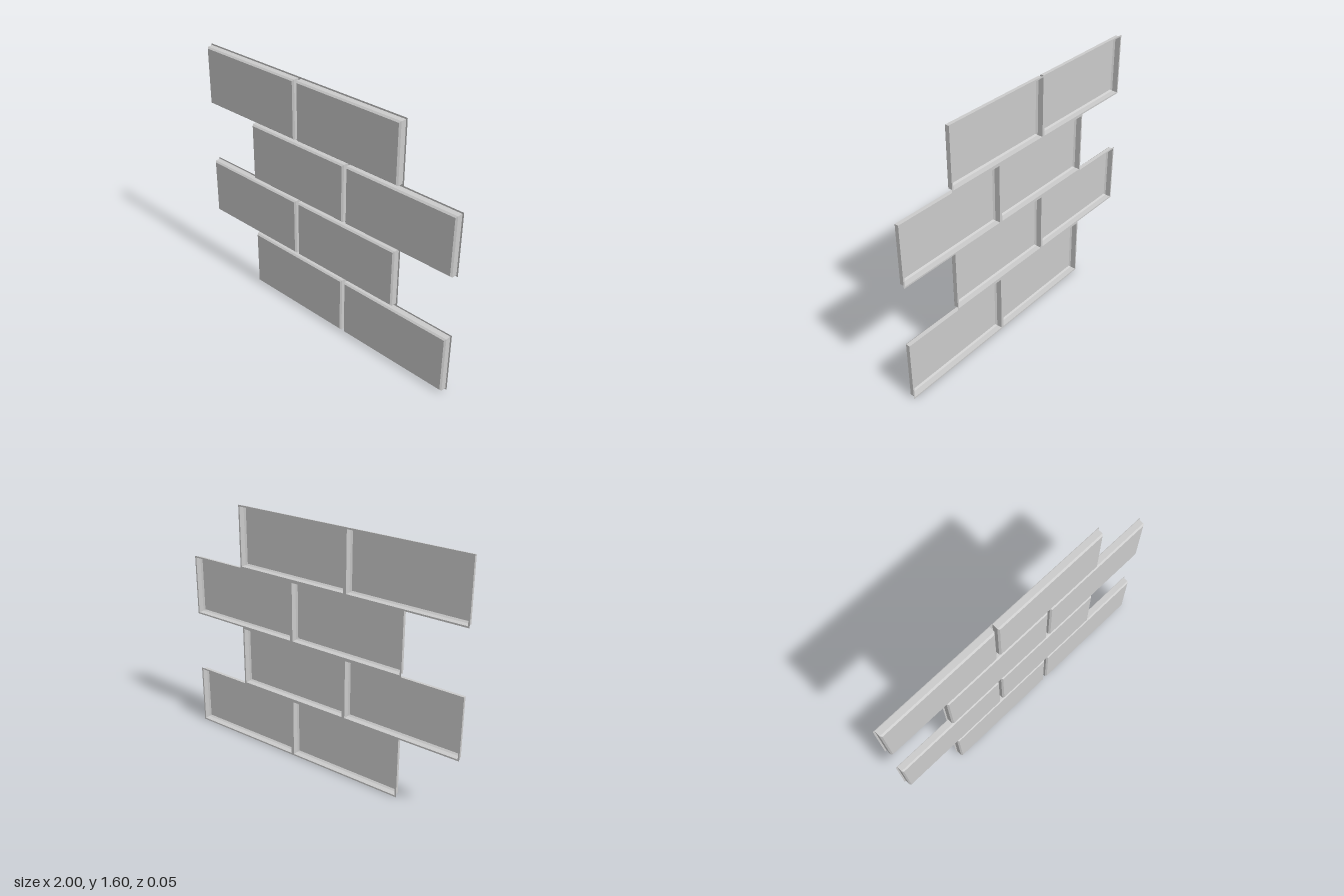
import * as THREE from 'three';

const PITCH_X = 0.8, PITCH_Y = 0.4;

// Hollow tile shell: rectangular rings from the back lip to the front face
function tileGeometry() {
  // [inset from the tile's cell, z]
  const rings = [[0, -0.023], [0.01, -0.023], [0.01, 0.013], [0.019, 0.023]];
  const corners = rings.map(([inset, z]) => {
    const w = PITCH_X / 2 - inset, h = PITCH_Y / 2 - inset;
    return [[-w, -h, z], [w, -h, z], [w, h, z], [-w, h, z]];
  });
  const positions = [];
  const quad = (a, b, c, d) => positions.push(...a, ...b, ...c, ...a, ...c, ...d);
  for (let r = 0; r < corners.length - 1; r++) {
    for (let i = 0; i < 4; i++) {
      const j = (i + 1) % 4;
      quad(corners[r][i], corners[r][j], corners[r + 1][j], corners[r + 1][i]);
    }
  }
  quad(...corners[corners.length - 1]); // front face
  const geometry = new THREE.BufferGeometry();
  geometry.setAttribute('position', new THREE.Float32BufferAttribute(positions, 3));
  geometry.computeVertexNormals();
  return geometry;
}

export function createModel() {
  const group = new THREE.Group();
  group.name = 'brickTilePanel';
  const material = new THREE.MeshStandardMaterial({
    color: 0xcccccc, flatShading: true, side: THREE.DoubleSide,
  });
  const geometry = tileGeometry();

  // Four rows of two tiles, alternate rows shifted by half a tile
  for (let row = 0; row < 4; row++) {
    const shift = row % 2 === 0 ? 0.2 : -0.2;
    for (const side of [-1, 1]) {
      const tile = new THREE.Mesh(geometry, material);
      tile.name = `tileRow${row + 1}${side < 0 ? 'Right' : 'Left'}`;
      tile.position.set(shift + side * PITCH_X / 2, (row + 0.5) * PITCH_Y, 0);
      group.add(tile);
    }
  }
  return group;
}
